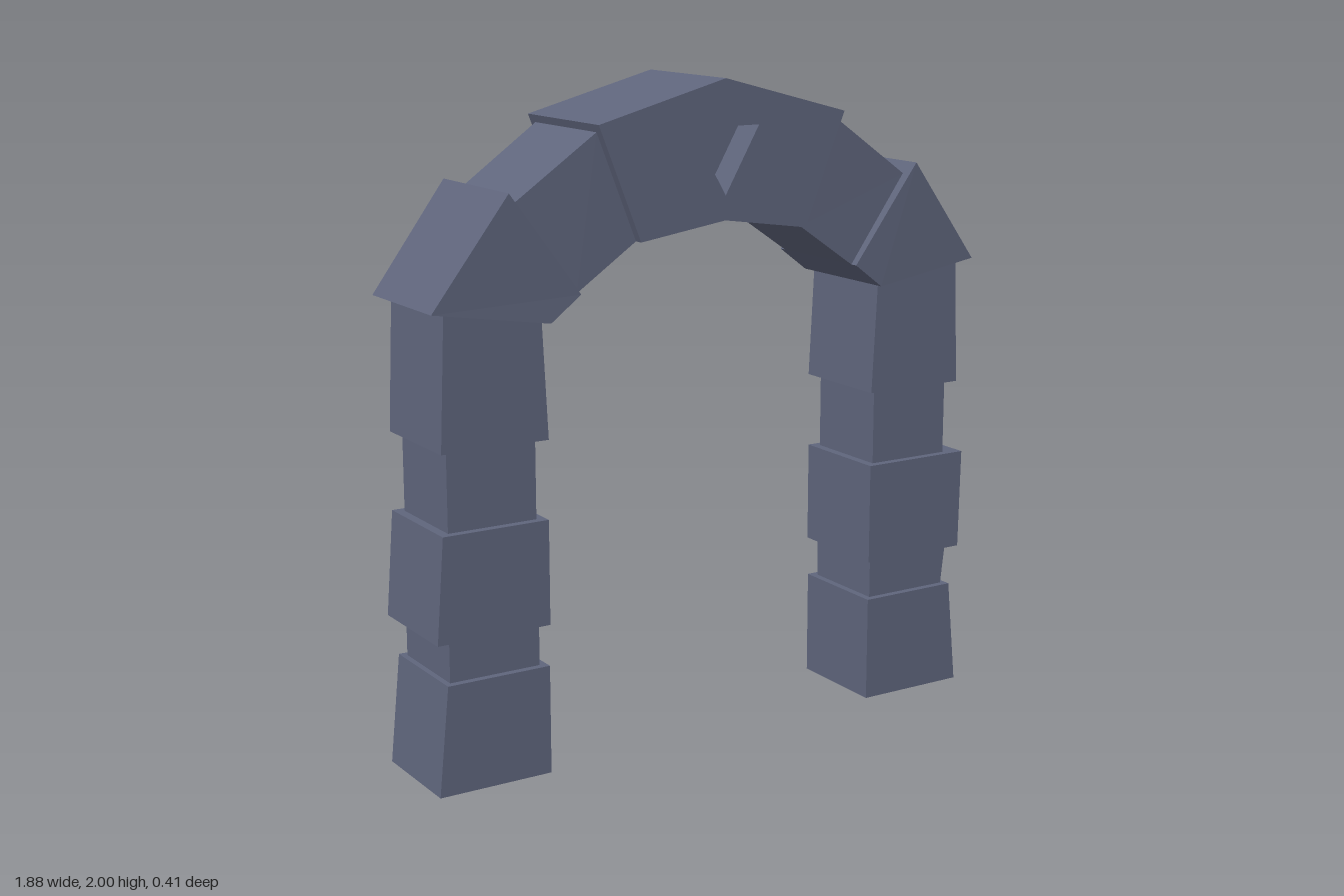
import * as THREE from 'three';

const slate = new THREE.MeshStandardMaterial({ color: 0x5f657c });
slate.name = 'slate stone';

// Outline in x and y, drawn out from z = back to z = front
function block(name, points, back, front, hole) {
  const toVectors = (list) => list.map(([x, y]) => new THREE.Vector2(x, y));
  const shape = new THREE.Shape(toVectors(points));
  if (hole) shape.holes.push(new THREE.Path(toVectors(hole)));
  const geometry = new THREE.ExtrudeGeometry(shape, { depth: front - back, bevelEnabled: false });
  geometry.translate(0, 0, back);
  const mesh = new THREE.Mesh(geometry, slate);
  mesh.name = name;
  return mesh;
}

// Narrow a block in z towards its outer end
function taperOutward(mesh, xInner, xOuter, scale) {
  const p = mesh.geometry.attributes.position;
  for (let i = 0; i < p.count; i++) {
    const t = THREE.MathUtils.clamp((Math.abs(p.getX(i)) - xInner) / (xOuter - xInner), 0, 1);
    p.setZ(i, p.getZ(i) * (1 + (scale - 1) * t));
  }
  mesh.geometry.computeVertexNormals();
  return mesh;
}

function createSide(side) {
  const group = new THREE.Group();
  group.name = side > 0 ? 'leftSide' : 'rightSide';
  const left = side > 0;
  const add = (name, points, halfDepth) => {
    const mesh = block(name, points.map(([x, y]) => [x * side, y]), -halfDepth, halfDepth);
    group.add(mesh);
    return mesh;
  };

  // Pillar stones: name, bottom y, top y, inner x, outer x at bottom and top, half depth
  const stones = [
    ['baseStone', 0, 0.33, 0.575, 0.935, 0.902, 0.164],
    ['lowerNeck', 0.33, 0.455, 0.597, 0.885, left ? 0.9 : 0.885, 0.142],
    ['middleStone', 0.455, 0.77, 0.573, 0.932, left ? 0.938 : 0.908, 0.167],
    ['upperNeck', 0.77, 1.005, 0.6, 0.88, 0.88, 0.142],
  ];
  for (const [name, y0, y1, inner, outer0, outer1, half] of stones) {
    add(name, [[inner, y0], [outer0, y0], [outer1, y1], [inner, y1]], half);
  }

  // Slanted top stone of the pillar
  add('pillarTop', [[0.57, 1.005], [0.907, 1.005], [0.89, 1.394], [0.587, 1.347]], 0.168);

  // Wide shoulder stone and the slimmer stone leading to the keystone
  const shoulder = add('shoulderStone', [[0.575, 1.345], [0.937, 1.402], [0.7, 1.717], [0.478, 1.418]], 0.201);
  taperOutward(shoulder, 0.7, 0.937, 0.95);
  const haunch = add('haunchStone', [[0.285, 1.55], [0.478, 1.418], [0.672, 1.683], [0.41, 1.866]], 0.178);
  taperOutward(haunch, 0.41, 0.672, 0.96);
  return group;
}

// Keystone with a triangular recess in its front
function createKeystone() {
  const group = new THREE.Group();
  group.name = 'keystone';
  const outline = [[0, 1.592], [0.285, 1.55], [0.42, 1.888], [0, 2], [-0.42, 1.888], [-0.285, 1.55]];
  const recess = [[-0.115, 1.863], [0, 1.664], [0.115, 1.863]];
  group.add(block('keystoneBody', outline, -0.207, 0.107));
  group.add(block('keystoneFace', outline, 0.107, 0.207, recess));
  return group;
}

export function createModel() {
  const model = new THREE.Group();
  model.name = 'stoneArch';
  model.add(createSide(1), createSide(-1), createKeystone());
  return model;
}
